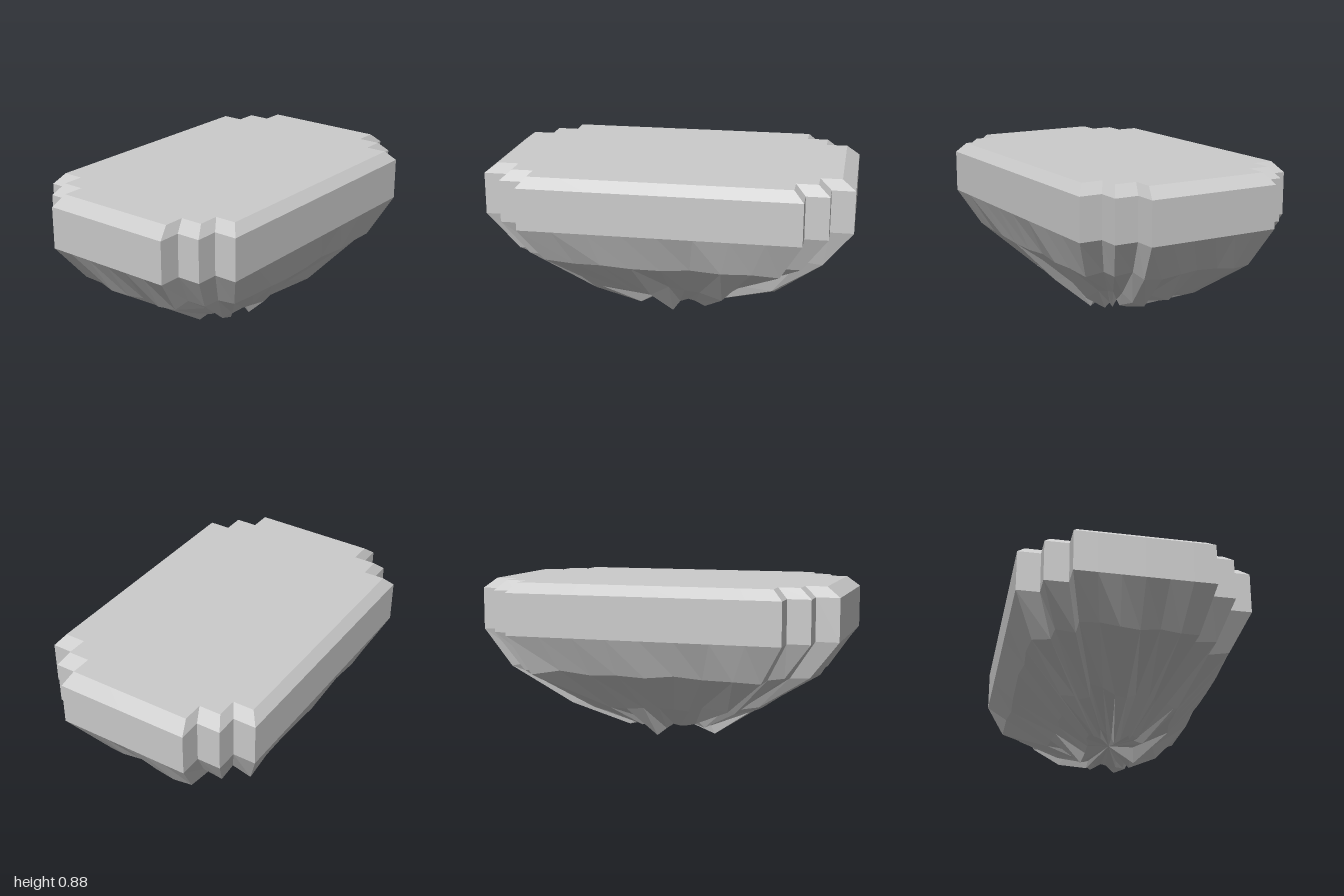
import * as THREE from 'three';

const material = new THREE.MeshStandardMaterial({ color: 0xcccccc, flatShading: true });

// Small repeatable noise in -1..1
function seeded(seed) {
  let s = seed;
  return () => {
    s = (s * 16807) % 2147483647;
    return (s / 2147483647) * 2 - 1;
  };
}

// Rectangle with two square steps cut from every corner, sides subdivided
function makeOutline() {
  const quarter = [[1, 0.37], [0.875, 0.37], [0.875, 0.5], [0.75, 0.5], [0.75, 0.625]];
  const flipped = [...quarter].reverse();
  const corners = [
    ...quarter,
    ...flipped.map(([x, z]) => [-x, z]),
    ...quarter.map(([x, z]) => [-x, -z]),
    ...flipped.map(([x, z]) => [x, -z]),
  ];
  const points = [];
  corners.forEach(([x, z], i) => {
    const [nx, nz] = corners[(i + 1) % corners.length];
    const length = Math.hypot(nx - x, nz - z);
    const parts = length > 1 ? 8 : length > 0.5 ? 6 : 1;
    for (let k = 0; k < parts; k++) {
      const t = k / parts;
      points.push([x + (nx - x) * t, z + (nz - z) * t]);
    }
  });
  return points;
}

// Flat-faced skin through rings from top to bottom, with optional end caps
function loft(name, rings, topY = null, bottomY = null) {
  const pos = [];
  const tri = (a, b, c) => pos.push(...a, ...b, ...c);
  const n = rings[0].length;
  const last = rings[rings.length - 1];
  for (let i = 0; i < n; i++) {
    const j = (i + 1) % n;
    for (let r = 0; r < rings.length - 1; r++) {
      const up = rings[r], low = rings[r + 1];
      tri(up[i], up[j], low[i]);
      tri(up[j], low[j], low[i]);
    }
    if (topY !== null) tri([0, topY, 0], rings[0][j], rings[0][i]);
    if (bottomY !== null) tri([0, bottomY, 0], last[i], last[j]);
  }
  const geometry = new THREE.BufferGeometry();
  geometry.setAttribute('position', new THREE.Float32BufferAttribute(pos, 3));
  geometry.computeVertexNormals();
  const mesh = new THREE.Mesh(geometry, material);
  mesh.name = name;
  return mesh;
}

export function createModel() {
  const group = new THREE.Group();
  group.name = 'floatingIsland';
  const outline = makeOutline();
  const noise = seeded(4177);
  const ring = (scale, y) => outline.map(([x, z]) => [x * scale, y, z * scale]);

  // Ring with jittered scale and height
  const roughRing = (scale, y, scaleJitter, yJitter) => outline.map(([x, z]) => {
    const s = scale + noise() * scaleJitter + (x > 0.9 ? scaleJitter * 0.8 : 0);
    return [x * s, y + noise() * yJitter, z * s];
  });

  // Bevelled top slab and vertical cliff
  group.add(loft('topSlab', [ring(0.928, 0.885), ring(1, 0.83)], 0.885));
  group.add(loft('cliffWall', [ring(1, 0.83), ring(1, 0.6)]));

  // Rough rock tapering to a jagged base
  const shoulder = roughRing(0.845, 0.395, 0.02, 0.015);
  const middle = roughRing(0.49, 0.18, 0.06, 0.025);
  const base = roughRing(0.225, 0.063, 0.025, 0.025);

  // Three hanging spikes on the base ring
  for (const [sx, sz] of [[-0.25, -0.02], [0, 0.14], [0.05, -0.15]]) {
    const tip = base.reduce((best, p) =>
      Math.hypot(p[0] - sx, p[2] - sz) < Math.hypot(best[0] - sx, best[2] - sz) ? p : best);
    tip[0] = sx;
    tip[1] = 0;
    tip[2] = sz;
  }
  group.add(loft('rockUnderside', [ring(1, 0.6), shoulder, middle, base], null, 0.09));
  return group;
}
